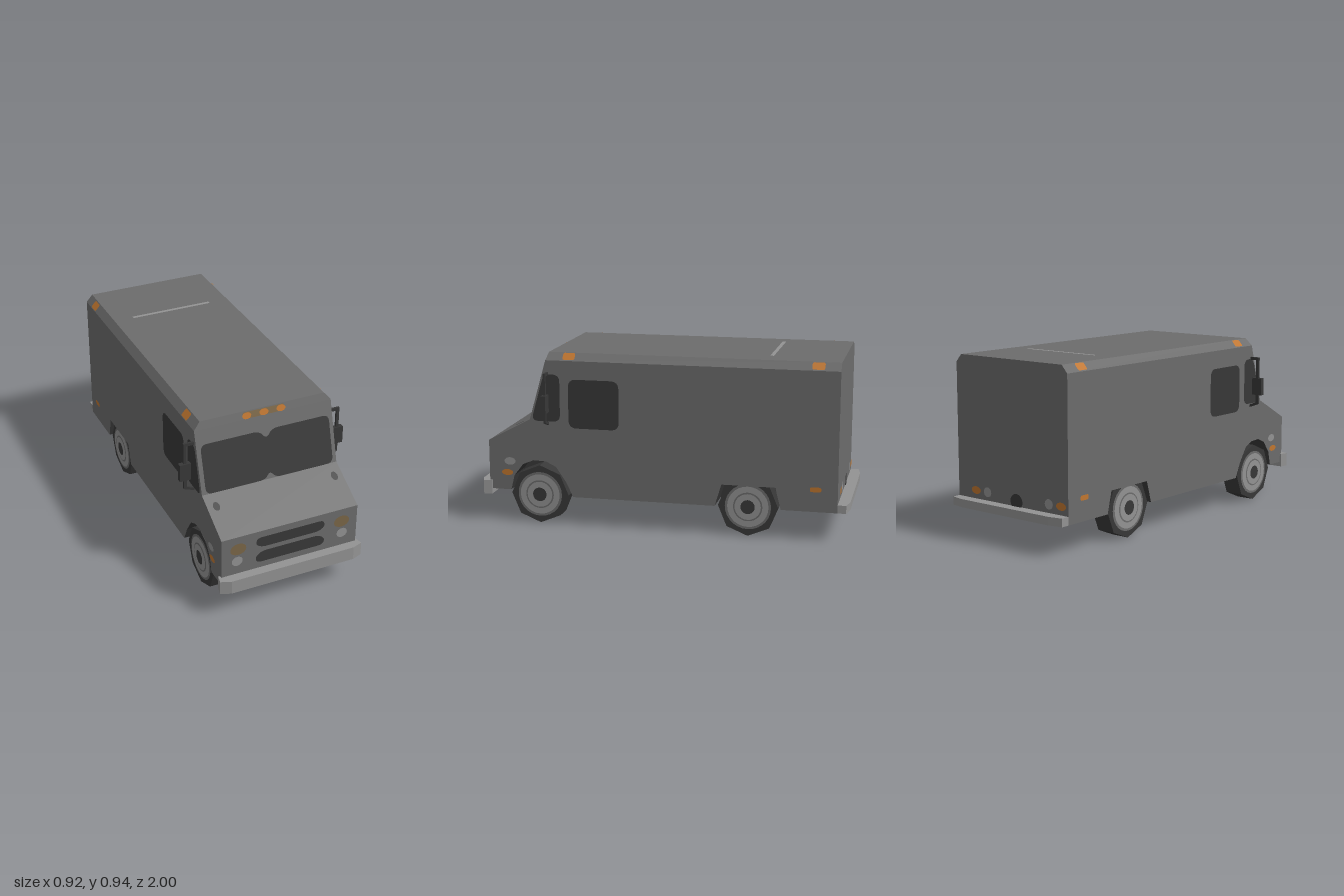
import * as THREE from 'three';

const mat = (name, color) => {
  const m = new THREE.MeshStandardMaterial({ color, side: THREE.DoubleSide });
  m.name = name;
  return m;
};

export function createModel() {
  const van = new THREE.Group();
  van.name = 'deliveryVan';
  const paint = mat('bodyGrey', 0x6c6c6c);
  const black = mat('darkTrim', 0x383838);
  const steel = mat('lightMetal', 0x939393);
  const orange = mat('orangeLamp', 0xc0762f);
  const amber = mat('dullAmber', 0x7a6647);

  const add = (name, geometry, material, parent = van) => {
    const mesh = new THREE.Mesh(geometry, material);
    mesh.name = name;
    parent.add(mesh);
    return mesh;
  };
  const poly = (pts) => new THREE.Shape(pts.map(([x, y]) => new THREE.Vector2(x, y)));
  // polygon with each corner rounded by up to r
  const rounded = (pts, r) => {
    const p = pts.map(([x, y]) => new THREE.Vector2(x, y));
    const s = new THREE.Shape();
    p.forEach((c, i) => {
      const toward = (q) => {
        const d = q.clone().sub(c);
        return c.clone().add(d.setLength(Math.min(r, d.length() * 0.48)));
      };
      const a = toward(p[(i + p.length - 1) % p.length]);
      const b = toward(p[(i + 1) % p.length]);
      if (i) s.lineTo(a.x, a.y);
      else s.moveTo(a.x, a.y);
      s.quadraticCurveTo(c.x, c.y, b.x, b.y);
    });
    s.closePath();
    return s;
  };
  const oval = (x, y, rx, ry) => new THREE.Shape().absellipse(x, y, rx, ry, 0, Math.PI * 2);
  const box = (x0, x1, y0, y1) => [[x0, y0], [x1, y0], [x1, y1], [x0, y1]];

  // flat painted detail: a 2D shape laid on a surface by a mapping rule
  const decal = (name, shape, material, map) => {
    const g = new THREE.ShapeGeometry(shape, 8);
    const p = g.attributes.position;
    for (let i = 0; i < p.count; i++) p.setXYZ(i, ...map(p.getX(i), p.getY(i)));
    g.computeVertexNormals();
    return add(name, g, material);
  };
  const screenZ = (y) => 0.715 - (y - 0.575) * 0.2877;
  const hoodY = (z) => 0.575 - (z - 0.715) * 0.532;
  const onScreen = (x, y) => [x, y, screenZ(y) + 0.004];
  const onNose = (x, y) => [x, y, 0.954];
  const onRear = (x, y) => [x, y, -0.944];
  const onHood = (x, z) => [x, hoodY(z) + 0.004, z];

  // body: side profile with wheel arches, extruded across the width
  const profile = [
    [-0.94, 0.157], [-0.645, 0.157], [-0.615, 0.275], [-0.33, 0.275], [-0.295, 0.157],
    [0.48, 0.157], [0.52, 0.24], [0.575, 0.32], [0.63, 0.347], [0.7, 0.35],
    [0.76, 0.325], [0.81, 0.26], [0.83, 0.18], [0.95, 0.18], [0.95, 0.45],
    [0.715, 0.575], [screenZ(0.9), 0.9], [-0.94, 0.9],
  ];
  const bodyGeo = new THREE.ExtrudeGeometry(poly(profile.map(([z, y]) => [-z, y])), {
    depth: 0.76, bevelEnabled: false,
  });
  bodyGeo.rotateY(Math.PI / 2).translate(-0.38, 0, 0);
  // underside and arch linings are dark
  bodyGeo.clearGroups();
  const bp = bodyGeo.attributes.position;
  for (let i = 0; i < bp.count; i += 3) {
    const mean = (f) => (f(i) + f(i + 1) + f(i + 2)) / 3;
    const inside = Math.abs(mean((k) => bp.getX(k))) < 0.379;
    const low = mean((k) => bp.getY(k)) < 0.36 && Math.abs(mean((k) => bp.getZ(k))) < 0.93;
    bodyGeo.addGroup(i, 3, inside && low ? 1 : 0);
  }
  add('body', bodyGeo, [paint, black]);

  // roof cap with sloped edges, its front leaning with the windscreen
  const roofGeo = new THREE.ExtrudeGeometry(
    poly([[-0.38, 0.9], [0.38, 0.9], [0.345, 0.94], [-0.345, 0.94]]),
    { depth: 1, bevelEnabled: false });
  const rp = roofGeo.attributes.position;
  for (let i = 0; i < rp.count; i++) rp.setZ(i, rp.getZ(i) > 0.5 ? screenZ(rp.getY(i)) : -0.94);
  roofGeo.computeVertexNormals();
  add('roof', roofGeo, paint);
  decal('roofStrip', poly(box(-0.235, 0.23, -0.575, -0.555)), steel, (x, z) => [x, 0.943, z]);

  // dark chassis closing the wheel wells in the middle
  [[0.66, 0.34, 0.35], [-0.47, 0.34, 0.28]].forEach(([z, len, top]) => {
    add('wheelWellCore', new THREE.BoxGeometry(0.44, top - 0.16, len), black)
      .position.set(0, (top + 0.16) / 2, z);
  });

  // bumpers: plan outline extruded upward
  const bumper = (name, outline, y, h) => {
    const g = new THREE.ExtrudeGeometry(poly(outline.map(([x, z]) => [x, -z])), {
      depth: h, bevelEnabled: false,
    });
    add(name, g.rotateX(-Math.PI / 2).translate(0, y, 0), steel);
  };
  bumper('frontBumper', [[-0.39, 0.935], [-0.4, 0.98], [-0.345, 1], [0.345, 1],
    [0.4, 0.98], [0.39, 0.935]], 0.153, 0.075);
  bumper('rearBumper', [[-0.38, -0.94], [-0.38, -0.985], [-0.3, -1], [0.3, -1],
    [0.38, -0.985], [0.38, -0.94]], 0.157, 0.043);

  // split windscreen
  decal('windscreen', rounded([
    [-0.358, 0.577], [-0.03, 0.577], [0, 0.615], [0.03, 0.577], [0.358, 0.577],
    [0.358, 0.826], [0.035, 0.826], [0, 0.78], [-0.035, 0.826], [-0.358, 0.826],
  ], 0.035), black, onScreen);

  // roof marker lamps over the windscreen
  decal('markerPanel', rounded(box(-0.115, 0.115, 0.902, 0.936), 0.01), amber, onScreen);
  [-0.095, 0, 0.095].forEach((x) => decal('frontMarker', oval(x, 0.919, 0.025, 0.017), orange,
    (u, v) => [u, v, screenZ(v) + 0.008]));

  // grille slots
  decal('upperGrille', rounded([[-0.16, 0.355], [0.16, 0.355], [0.195, 0.378], [0.185, 0.415],
    [-0.185, 0.415], [-0.195, 0.378]], 0.025), black, onNose);
  decal('lowerGrille', rounded([[-0.185, 0.265], [0.185, 0.265], [0.197, 0.3], [0.16, 0.33],
    [-0.16, 0.33], [-0.197, 0.3]], 0.025), black, onNose);

  // mirrored details
  [1, -1].forEach((s) => {
    const onSide = (z, y) => [s * 0.384, y, z];
    decal('turnLamp', oval(s * 0.29, 0.379, 0.044, 0.034), amber, onNose);
    decal('headlight', oval(s * 0.295, 0.307, 0.03, 0.028), steel, onNose);
    decal('washerJet', oval(s * 0.332, 0.785, 0.018, 0.022), black, onHood);

    decal('quarterWindow', rounded([[0.705, 0.57], [0.545, 0.57], [0.545, 0.825], [0.632, 0.825]],
      0.04), black, onSide);
    decal('doorWindow', rounded(box(0.222, 0.498, 0.538, 0.802), 0.045), black, onSide);
    decal('sideLamp', oval(0.832, 0.34, 0.032, 0.021), steel, onSide);
    decal('frontSideMarker', oval(0.848, 0.277, 0.032, 0.017), orange, onSide);
    decal('rearSideMarker', rounded(box(-0.855, -0.795, 0.264, 0.29), 0.012), orange, onSide);
    [0.495, -0.825].forEach((z) => decal('roofSideMarker',
      rounded(box(z - 0.033, z + 0.033, 0.903, 0.936), 0.01), orange,
      (u, v) => [s * (0.383 - (v - 0.9) * 0.875), v + 0.003, u]));

    // tail lamps
    decal('tailLamp', oval(-0.043 + s * 0.293, 0.245, 0.033, 0.02), orange, onRear);
    decal('reverseLamp', oval(-0.043 + s * 0.212, 0.245, 0.027, 0.026), steel, onRear);

    // mirror on a bent bracket
    const mirror = new THREE.Group();
    mirror.name = 'sideMirror';
    van.add(mirror);
    const bracket = [[0.375, 0.82], [0.42, 0.82], [0.42, 0.58], [0.375, 0.562], [0.375, 0.548],
      [0.436, 0.571], [0.436, 0.836], [0.375, 0.836]].map(([x, y]) => [s * x, y]);
    add('mirrorBracket', new THREE.ExtrudeGeometry(poly(bracket), {
      depth: 0.012, bevelEnabled: false,
    }).translate(0, 0, 0.608), black, mirror);
    add('mirrorHousing', new THREE.BoxGeometry(0.06, 0.096, 0.026), black, mirror)
      .position.set(s * 0.43, 0.672, 0.614);

    // eight-sided wheels with ringed hubs
    [0.67, -0.47].forEach((z) => {
      const wheel = new THREE.Group();
      wheel.name = 'wheel';
      wheel.position.set(s * 0.316, 0.16, z);
      van.add(wheel);
      const tyre = new THREE.CylinderGeometry(0.16, 0.16, 0.102, 8).toNonIndexed();
      tyre.computeVertexNormals();
      add('tyre', tyre.rotateZ(Math.PI / 2), black, wheel);
      [[0.123, paint], [0.11, steel], [0.078, paint], [0.07, steel], [0.038, black]]
        .forEach(([r, m], i) => {
          const disc = add('hubRing', new THREE.CircleGeometry(r, 28), m, wheel);
          disc.rotation.y = s * Math.PI / 2;
          disc.position.x = s * (0.053 + i * 0.002);
        });
    });
  });
  decal('rearPlateLamp', oval(-0.035, 0.225, 0.042, 0.04), black, onRear);

  return van;
}
